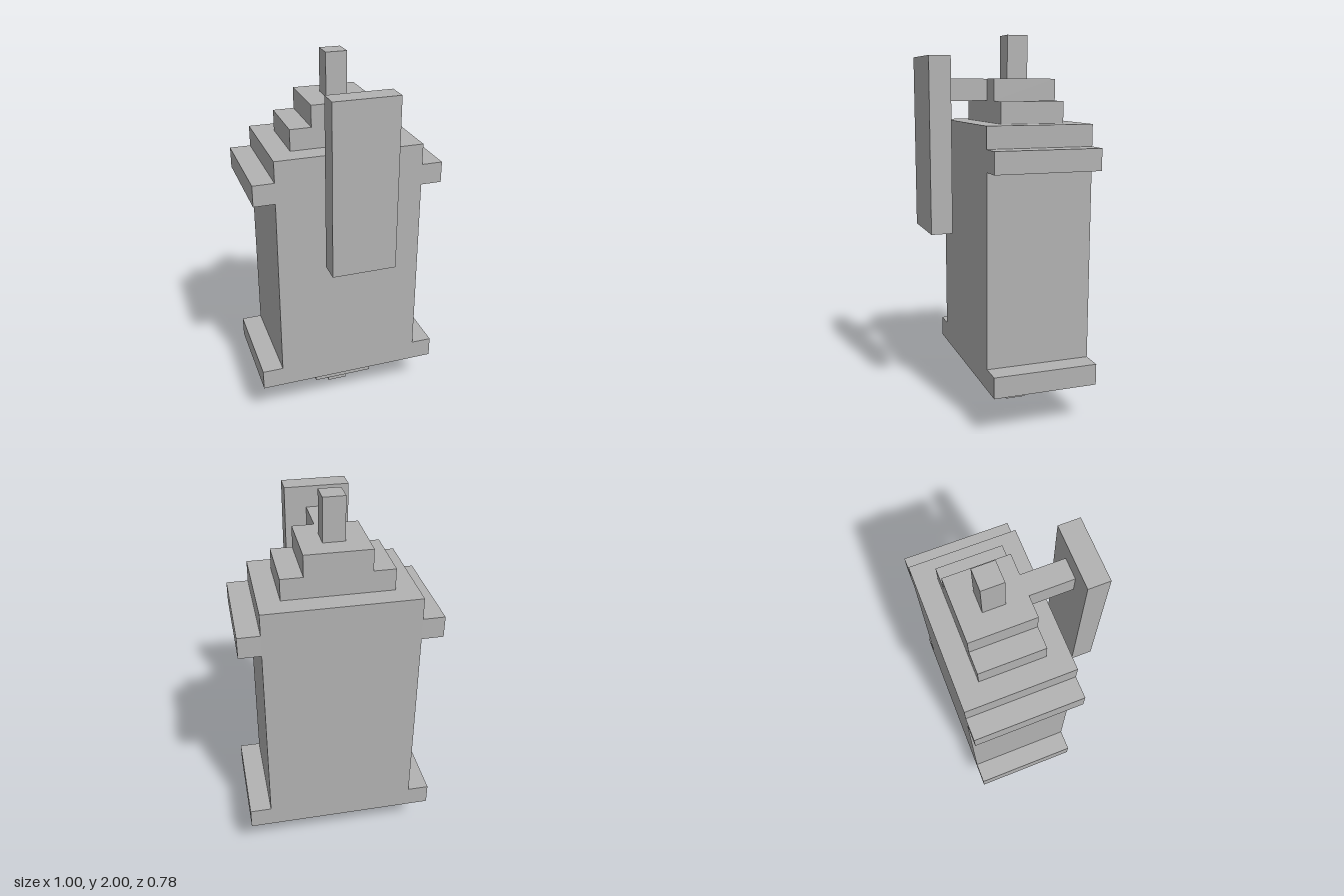
import * as THREE from 'three';

export function createModel() {
  const U = 1 / 9; // one block of the modelling grid
  const model = new THREE.Group();
  model.name = 'blockLantern';
  const grey = new THREE.MeshStandardMaterial({ color: 0xb2b2b2 });
  grey.name = 'stone grey';

  // Box from its limits in grid blocks; y counts up from the floor.
  function block(name, [x0, x1], [y0, y1], [z0, z1]) {
    const geometry = new THREE.BoxGeometry((x1 - x0) * U, (y1 - y0) * U, (z1 - z0) * U);
    const mesh = new THREE.Mesh(geometry, grey);
    mesh.name = name;
    mesh.position.set((x0 + x1) * U / 2, (y0 + y1) * U / 2, (z0 + z1) * U / 2);
    model.add(mesh);
  }

  const bodyDepth = [-3.5, 1.5], capDepth = [-2.5, 0.5], postDepth = [-1.5, -0.5];

  // Main body with a ledge at the foot and the shoulder on each side
  block('body', [-3.5, 3.5], [2, 14], bodyDepth);
  for (const [side, xs] of [['left', [3.5, 4.5]], ['right', [-4.5, -3.5]]]) {
    block(side + 'LowerLedge', xs, [2, 3], bodyDepth);
    block(side + 'UpperLedge', xs, [12, 13], bodyDepth);
  }

  // Stepped cap and top post
  block('capStep', [-2.5, 2.5], [14, 15], capDepth);
  block('capTop', [-1.5, 1.5], [15, 16], capDepth);
  block('topPost', [-0.5, 0.5], [16, 18], postDepth);

  // Foot under the body
  block('footStep', [-1.5, 1.5], [1, 2], capDepth);
  block('bottomPost', [-0.5, 0.5], [0, 1], postDepth);

  // Arm reaching forward to the hanging front plate
  block('arm', [-0.5, 0.5], [15, 16], [0.5, 2.5]);
  block('frontPlate', [-1.5, 1.5], [9, 17], [2.5, 3.5]);

  return model;
}
